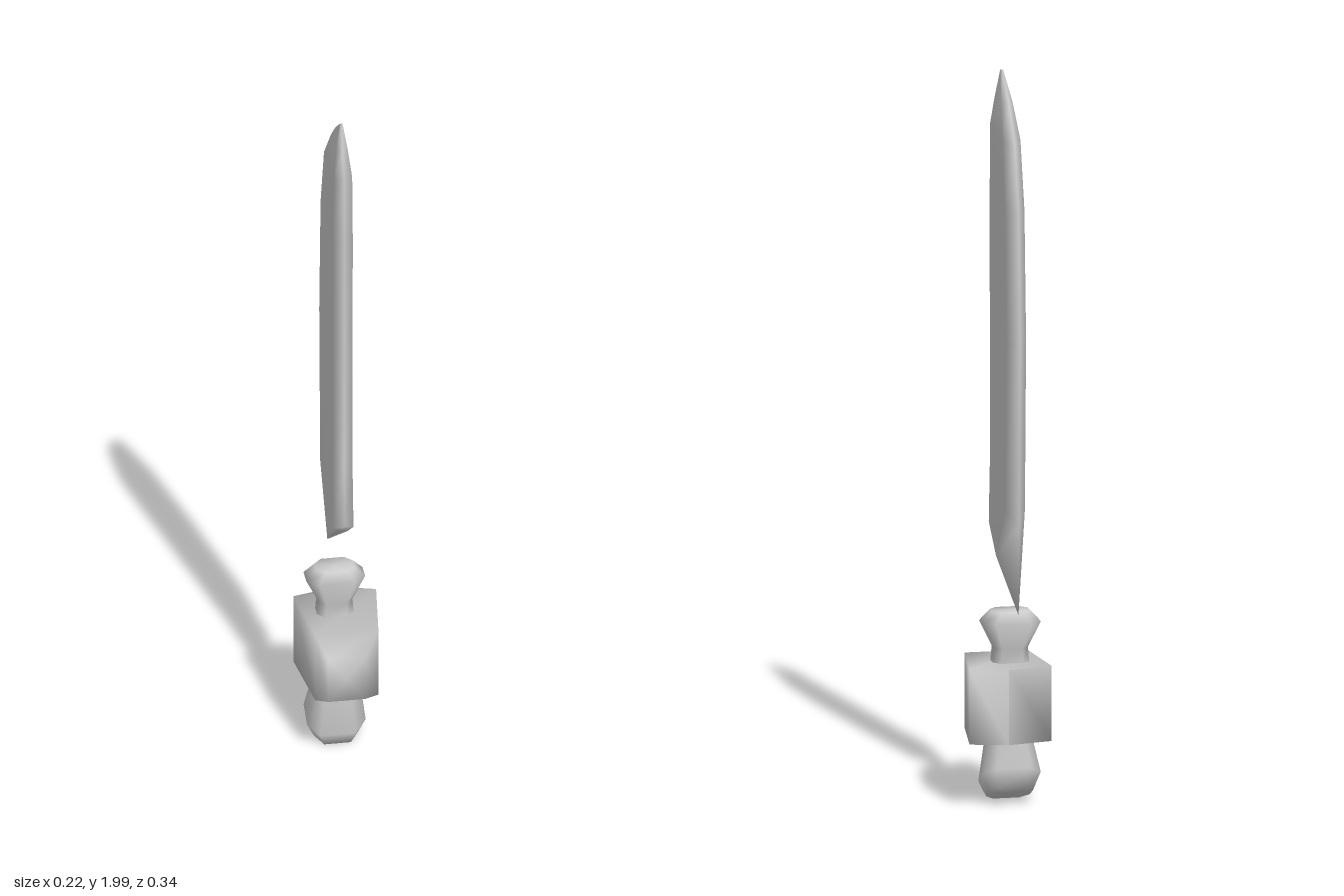
import * as THREE from 'three';

const material = new THREE.MeshStandardMaterial({ color: 0xcccccc });
const CX = -0.015; // centre line of blade and hilt

// Skin a list of closed rings (each an array of [x, y, z]) and cap both ends
function loft(name, rings) {
  const n = rings[0].length;
  const last = (rings.length - 1) * n;
  const middle = (ring) => [0, 1, 2].map((k) => ring.reduce((s, p) => s + p[k], 0) / n);
  const points = [...rings.flat(), middle(rings[0]), middle(rings[rings.length - 1])];
  const start = rings.length * n;
  const index = [];
  for (let j = 0; j < n; j++) {
    const k = (j + 1) % n;
    for (let i = 0; i < last; i += n) {
      index.push(i + j, i + k, i + n + k, i + j, i + n + k, i + n + j);
    }
    index.push(start, k, j, start + 1, last + j, last + k);
  }
  const geometry = new THREE.BufferGeometry();
  geometry.setAttribute('position', new THREE.Float32BufferAttribute(points.flat(), 3));
  geometry.setIndex(index);
  geometry.computeVertexNormals();
  const mesh = new THREE.Mesh(geometry, material);
  mesh.name = name;
  return mesh;
}

// Ring spanning a front point (z, y) to a back point (z, y);
// side is a list of [fraction from front to back, half width]
function spanRing([fz, fy], [bz, by], side) {
  const at = (t, w) => [CX + w, fy + (by - fy) * t, fz + (bz - fz) * t];
  return [
    ...side.map(([t, w]) => at(t, w)),
    ...[...side].reverse().filter(([, w]) => w > 0).map(([t, w]) => at(t, -w)),
  ];
}

// Blade: six-sided section with a blunt spine in front and a long edge behind
function createBlade() {
  const sections = [
    // front z, y, back z, y, half width, end of back bevel
    [0.15, 0.77, -0.145, 0.55, 0.027, 0.42],
    [0.133, 0.95, -0.157, 0.8, 0.027, 0.8],
    [0.137, 1.3, -0.17, 1.3, 0.027, 0.82],
    [0.137, 1.66, -0.15, 1.65, 0.027, 0.8],
    [0.135, 1.85, -0.1, 1.83, 0.025, 0.78],
    [0.108, 1.925, -0.02, 1.925, 0.016, 0.75],
    [0.083, 2.0, 0.077, 1.997, 0.004, 0.7],
  ];
  return loft('blade', sections.map(([fz, fy, bz, by, w, bevel]) =>
    spanRing([fz, fy], [bz, by], [[0, 0], [0.09, w], [bevel, w], [1, 0]])));
}

// Hilt: eight-sided grip, waisted neck above the guard, slanted butt below
function createHilt() {
  const sections = [
    // front z, y, back z, y, half width
    [0.025, 0.01, -0.075, 0.06, 0.06],
    [0.037, 0.045, -0.085, 0.115, 0.08],
    [0.042, 0.2, -0.06, 0.2, 0.058],
    [0.01, 0.4, -0.065, 0.4, 0.05],
    [0.012, 0.44, -0.068, 0.44, 0.046],
    [0.022, 0.51, -0.083, 0.51, 0.08],
    [0.01, 0.54, -0.065, 0.54, 0.052],
  ];
  return loft('hilt', sections.map(([fz, fy, bz, by, w]) =>
    spanRing([fz, fy], [bz, by], [[0, w * 0.6], [0.28, w], [0.72, w], [1, w * 0.6]])));
}

// Guard: block narrowing towards the front, with a shallow ridge at the back
function createGuard() {
  const sections = [
    // z, left x, right x, bottom y, top y
    [0.172, 0.037, -0.065, 0.235, 0.365],
    [0.09, 0.085, -0.087, 0.193, 0.4],
    [-0.112, 0.112, -0.112, 0.193, 0.4],
    [-0.14, 0.011, 0.009, 0.193, 0.4],
  ];
  return loft('guard', sections.map(([z, l, r, b, t]) =>
    [[l, b, z], [r, b, z], [r, t, z], [l, t, z]]));
}

export function createModel() {
  const group = new THREE.Group();
  group.name = 'sword';
  group.add(createBlade(), createHilt(), createGuard());
  return group;
}
